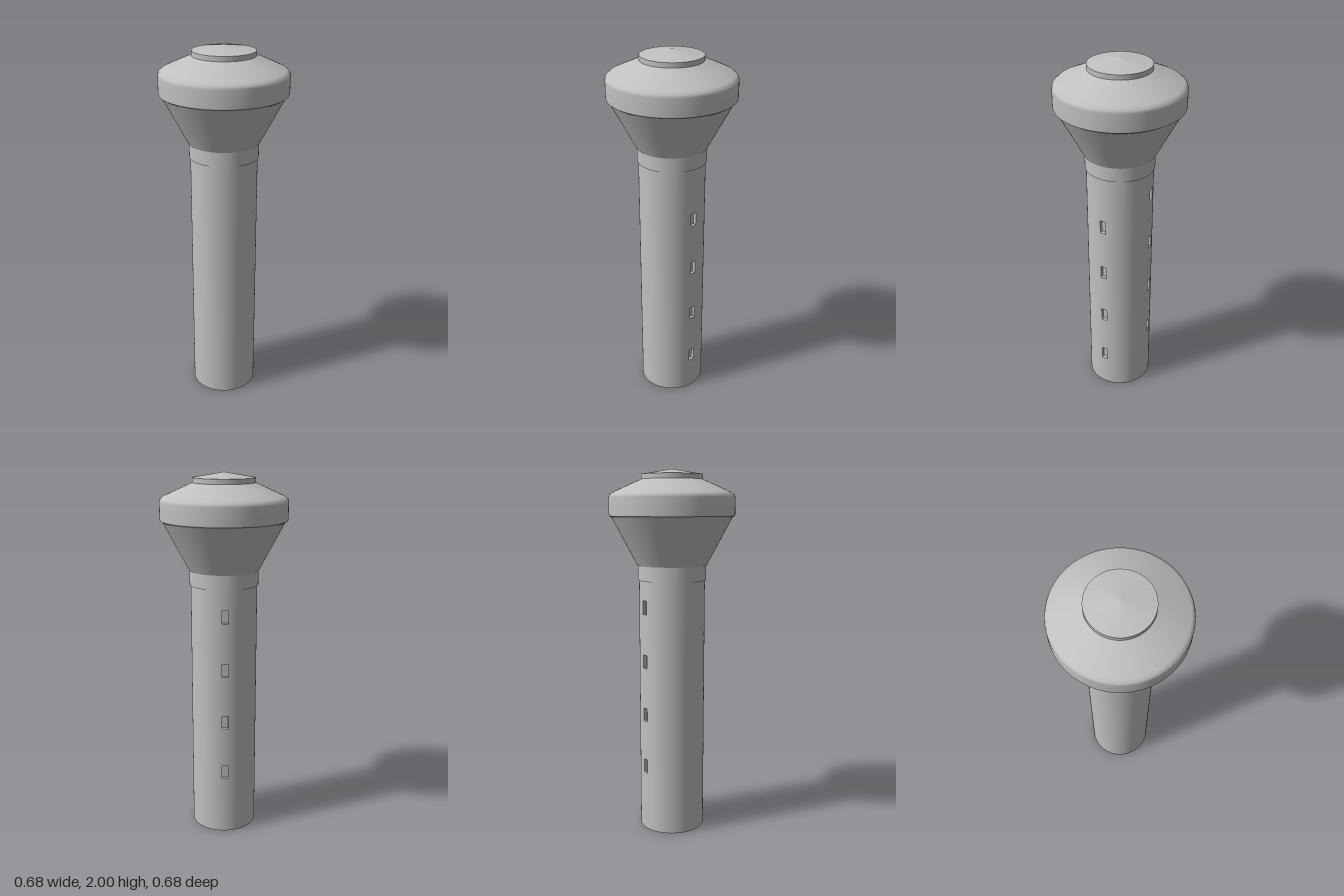
import * as THREE from 'three';

const R = 0.18;              // shaft radius
const SHAFT_TOP = 1.41;
const SLOT_H = 0.075, SLOT_W = 0.034, SLOT_DEPTH = 0.02;
const HALF = Math.asin(SLOT_W / 2 / R); // half the angle a slot spans

// Two columns of window slots: angle from +z towards +x, and slot centre heights
const columns = [
  { angle: THREE.MathUtils.degToRad(92.8), heights: [0.222, 0.519, 0.82, 1.117] },
  { angle: THREE.MathUtils.degToRad(190), heights: [0.372, 0.67, 0.97, 1.268] },
];

// Inside-out box without its outer face, used as the lining of a slot
function pocketGeometry() {
  const g = new THREE.BoxGeometry(SLOT_W, SLOT_H, SLOT_DEPTH);
  const idx = Array.from(g.index.array);
  idx.splice(24, 6);
  g.setIndex(idx.reverse());
  g.clearGroups();
  const n = g.attributes.normal;
  for (let i = 0; i < n.count; i++) n.setXYZ(i, -n.getX(i), -n.getY(i), -n.getZ(i));
  return g;
}

export function createModel() {
  const model = new THREE.Group();
  model.name = 'tower';
  const stone = new THREE.MeshStandardMaterial({ color: 0xc0c0c0 });
  stone.name = 'light grey';

  const add = (parent, name, geometry) => {
    const mesh = new THREE.Mesh(geometry, stone);
    mesh.name = name;
    parent.add(mesh);
    return mesh;
  };
  const lathe = (name, points) =>
    add(model, name, new THREE.LatheGeometry(points.map(([x, y]) => new THREE.Vector2(x, y)), 96));

  // Shaft wall: curved panels with gaps left for the slots
  const shaft = new THREE.Group();
  shaft.name = 'shaft';
  model.add(shaft);
  const panel = (name, y0, y1, start, length) => {
    const segments = Math.max(2, Math.ceil(length / (Math.PI / 48)));
    const g = new THREE.CylinderGeometry(R, R, y1 - y0, segments, 1, true, start, length);
    add(shaft, name, g.translate(0, (y0 + y1) / 2, 0));
  };
  columns.forEach(({ angle, heights }, i) => {
    // Plain wall from this column round to the next
    const next = columns[(i + 1) % columns.length].angle;
    const span = (next - angle + Math.PI * 2) % (Math.PI * 2);
    panel('shaftWall', 0, SHAFT_TOP, angle + HALF, span - 2 * HALF);

    // Narrow wall pieces between slots, and the recessed slots themselves
    let y = 0;
    for (const h of heights) {
      panel('slotPier', y, h - SLOT_H / 2, angle - HALF, 2 * HALF);
      y = h + SLOT_H / 2;
      const r = R * Math.cos(HALF) - SLOT_DEPTH / 2;
      const slot = add(shaft, 'windowSlot', pocketGeometry());
      slot.position.set(Math.sin(angle) * r, h, Math.cos(angle) * r);
      slot.rotation.y = angle;
    }
    panel('slotPier', y, SHAFT_TOP, angle - HALF, 2 * HALF);
  });

  // Underside of the shaft
  add(shaft, 'base', new THREE.CircleGeometry(R, 96).rotateX(Math.PI / 2));

  // Collar, with the small ledge under it
  lathe('collarLedge', [[R, SHAFT_TOP], [0.186, SHAFT_TOP]]);
  lathe('collar', [[0.186, SHAFT_TOP], [0.186, 1.49]]);

  // Flared head
  lathe('flareLedge', [[0.186, 1.49], [0.19, 1.49]]);
  lathe('flare', [[0.19, 1.49], [0.325, 1.745]]);

  // Rim band running smoothly into the sloping roof
  lathe('rimUnderside', [[0.325, 1.745], [0.338, 1.753]]);
  lathe('rimAndRoof', [
    [0.338, 1.753], [0.34, 1.76], [0.34, 1.85], [0.336, 1.864],
    [0.32, 1.877], [0.245, 1.911], [0.166, 1.946],
  ]);

  // Raised cap with a shallow point
  lathe('capEdge', [[0.166, 1.946], [0.166, 1.972]]);
  lathe('capTop', [[0.166, 1.972], [0, 2]]);

  return model;
}
